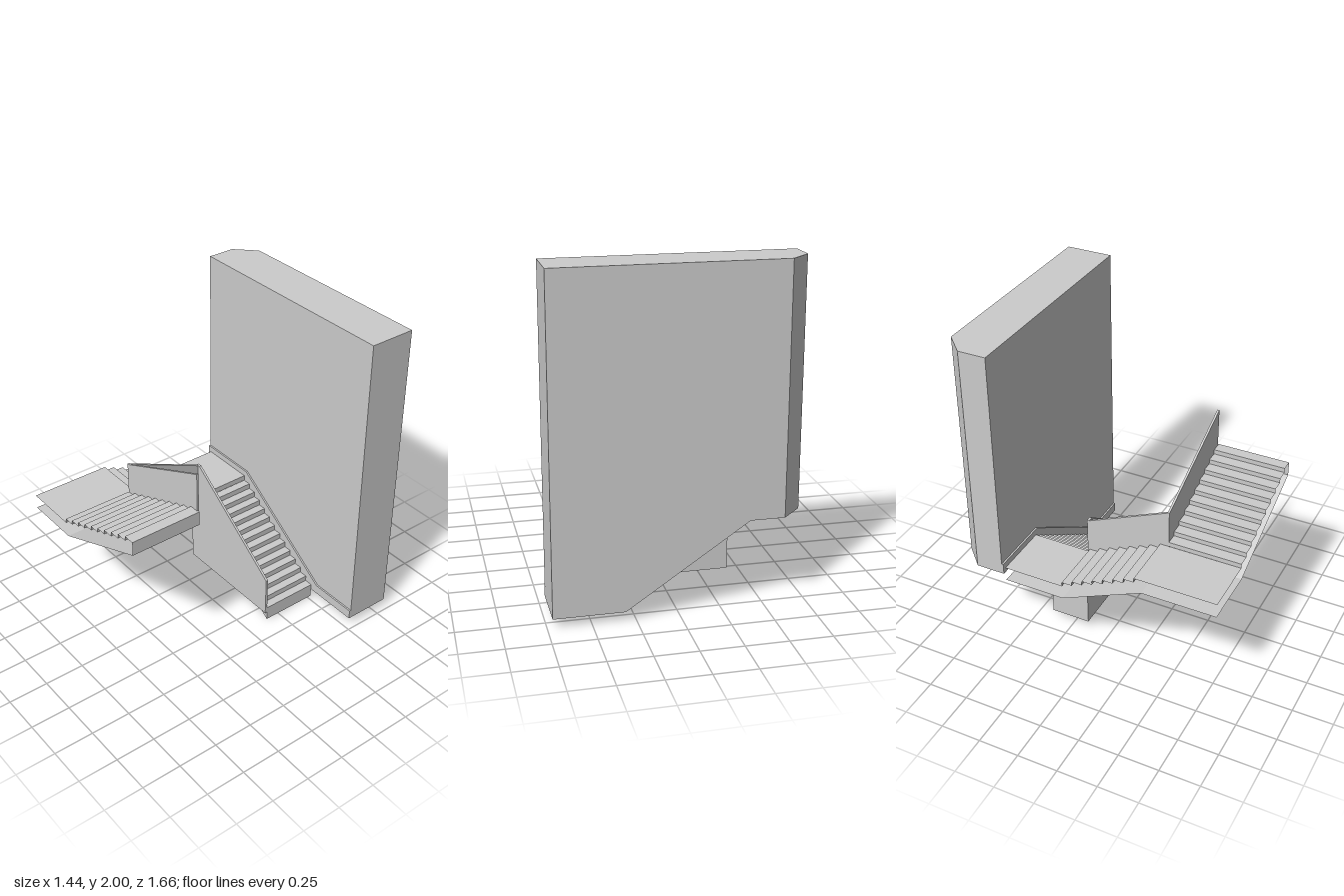
import * as THREE from 'three';

const solid = new THREE.MeshStandardMaterial({ color: 0xcccccc, flatShading: true });
const sheet = new THREE.MeshStandardMaterial({ color: 0xcccccc, flatShading: true, side: THREE.DoubleSide });

export function createModel() {
  const group = new THREE.Group();

  const add = (name, geometry, material = solid) => {
    const mesh = new THREE.Mesh(geometry, material);
    mesh.name = name;
    group.add(mesh);
    return mesh;
  };
  const extrude = (points, depth) => new THREE.ExtrudeGeometry(
    new THREE.Shape(points.map(([x, y]) => new THREE.Vector2(x, y))),
    { depth, bevelEnabled: false });

  // Outline in x and y, running from z0 to z1
  const slabAlongZ = (name, points, z0, z1) =>
    add(name, extrude(points, z1 - z0).translate(0, 0, z0));
  // Outline in z and y, running from x0 to x1
  const slabAlongX = (name, points, x0, x1) =>
    add(name, extrude(points, x1 - x0).rotateY(-Math.PI / 2).translate(x1, 0, 0));

  // Thin folded surface: a line of points [u, y] swept from a to b across
  const folded = (name, points, axis, a, b) => {
    const at = ([u, y], w) => (axis === 'x' ? [u, y, w] : [w, y, u]);
    const pos = [];
    for (let i = 0; i < points.length - 1; i++) {
      const [p, q] = [points[i], points[i + 1]];
      pos.push(...at(p, a), ...at(p, b), ...at(q, b), ...at(p, a), ...at(q, b), ...at(q, a));
    }
    // Turn the surface so its front is on the upper side
    if (axis === 'z') for (let i = 0; i < pos.length; i += 9) {
      for (let k = 0; k < 3; k++) [pos[i + k], pos[i + 3 + k]] = [pos[i + 3 + k], pos[i + k]];
    }
    const g = new THREE.BufferGeometry();
    g.setAttribute('position', new THREE.Float32BufferAttribute(pos, 3));
    g.computeVertexNormals();
    return add(name, g, sheet);
  };

  // Sawtooth line: each step is a riser followed by a tread
  const steps = (u, y, run, rise, count) => {
    const points = [[u, y]];
    for (let i = 0; i < count; i++) {
      points.push([u + run * i, y + rise * (i + 1)], [u + run * (i + 1), y + rise * (i + 1)]);
    }
    return points;
  };

  // Back wall, cut away below along the lower flight, with one chamfered corner
  slabAlongZ('backWall',
    [[0.72, 0.06], [0.72, 2], [-0.6, 2], [-0.6, 0.54], [-0.4, 0.54], [0.31, 0.06]], -0.83, -0.538);
  add('backWallCorner',
    extrude([[-0.6, 0.83], [-0.72, 0.71], [-0.72, 0.538], [-0.6, 0.538]], 1.46)
      .rotateX(-Math.PI / 2).translate(0, 0.54, 0));
  slabAlongZ('skirting',
    [[0.72, 0.06], [0.72, 0.12], [0.41, 0.12], [-0.32, 0.61], [-0.72, 0.61], [-0.72, 0.54], [-0.4, 0.54], [0.31, 0.06]],
    -0.538, -0.527);

  // Lower flight, solid, rising towards -x
  slabAlongZ('lowerFlight',
    [[0.36, 0.003], ...steps(0.36, 0.06, -0.0537, 0.0364, 13), [-0.338, 0.48]], -0.527, -0.157);
  slabAlongZ('lowerParapet',
    [[0.36, 0.06], [0.36, 0.32], [-0.32, 0.815], [-0.35, 0.815], [-0.35, 0.48], [-0.338, 0.48], [0.28, 0.06]],
    -0.157, -0.142);
  slabAlongZ('closetUnderStairs',
    [[0.28, 0.06], [-0.338, 0.48], [-0.4, 0.48], [-0.4, 0.06]], -0.39, -0.142);

  // First landing and middle flight rising towards +z, then second landing
  folded('middleFlightTop',
    [[-0.527, 0.57], ...steps(-0.143, 0.57, 0.0666, 0.0287, 8), [0.83, 0.8]], 'z', -0.7, -0.35);
  folded('firstLandingEdge', [[-0.338, 0.534], [-0.338, 0.57], [-0.35, 0.57]], 'x', -0.527, -0.143);
  folded('middleFlightSoffit',
    [[-0.527, 0.48], [-0.142, 0.48], [0.37, 0.71], [0.83, 0.71]], 'z', -0.7, -0.336);
  slabAlongX('middleParapet',
    [[-0.142, 0.48], [0.37, 0.71], [0.37, 1.037], [-0.142, 0.812]], -0.35, -0.335);

  // Upper flight rising towards +x, with its closed end
  folded('upperFlightTop',
    [...steps(-0.35, 0.8, 0.071, 0.029, 10), [0.36, 1.0]], 'x', 0.37, 0.83);
  folded('upperFlightSoffit', [[-0.336, 0.71], [0.36, 1.0]], 'x', 0.37, 0.83);
  slabAlongZ('upperParapet',
    [[-0.35, 0.715], [-0.335, 0.715], [0.345, 1.0], [0.345, 1.34], [-0.33, 1.04], [-0.35, 1.037]], 0.364, 0.377);

  return group;
}
